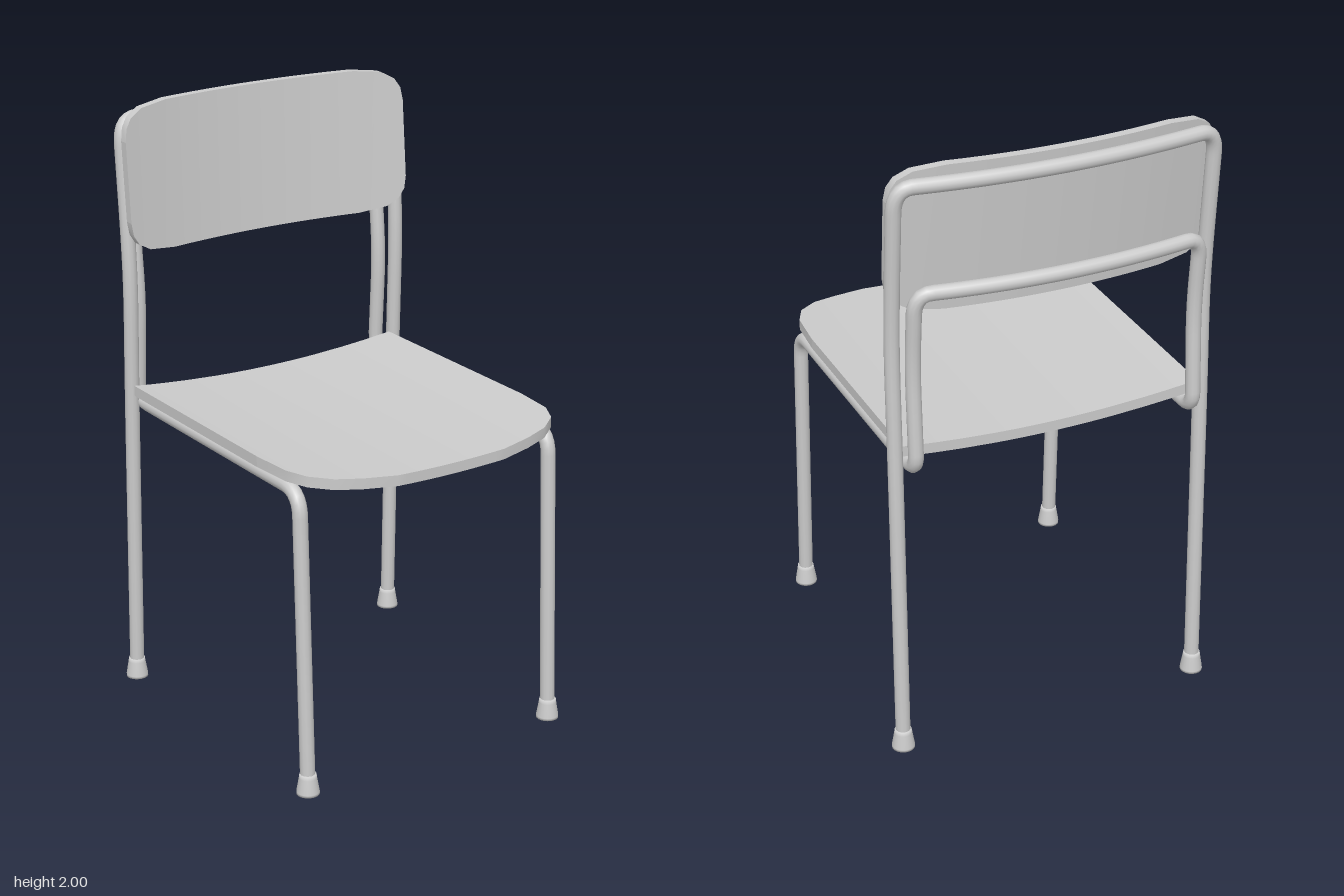
import * as THREE from 'three';

const material = new THREE.MeshStandardMaterial({ color: 0xcccccc });
const V = (x, y, z) => new THREE.Vector3(x, y, z);
const TUBE_R = 0.024;

function add(group, name, geometry, x = 0, y = 0, z = 0) {
  const mesh = new THREE.Mesh(geometry, material);
  mesh.name = name;
  mesh.position.set(x, y, z);
  group.add(mesh);
  return mesh;
}

// Steel tube along corner points, each corner rounded by its own radius
function bentTube(points) {
  const path = new THREE.CurvePath();
  let last = points[0].p;
  for (let i = 1; i < points.length - 1; i++) {
    const { p, r } = points[i];
    const toward = (q) => {
      const d = q.clone().sub(p);
      return p.clone().addScaledVector(d.clone().normalize(), Math.min(r, d.length() * 0.45));
    };
    const a = toward(points[i - 1].p), b = toward(points[i + 1].p);
    path.add(new THREE.LineCurve3(last, a));
    path.add(new THREE.QuadraticBezierCurve3(a, p, b));
    last = b;
  }
  path.add(new THREE.LineCurve3(last, points[points.length - 1].p));
  path.arcLengthDivisions = 600;
  return new THREE.TubeGeometry(path, 300, TUBE_R, 12, false);
}

// Mirrored frame: side profile [y, z, radius] on both sides, joined by a crossbar bowed backwards
function frame(halfWidth, side, bow) {
  const half = (s) => side.map(([y, z, r]) => ({ p: V(s * halfWidth, y, z), r }));
  const [endY, endZ] = side[side.length - 1];
  const bar = [];
  for (let i = -3; i <= 3; i++) {
    const t = i / 4;
    bar.push({ p: V(t * halfWidth, endY, endZ - bow * (1 - t * t)), r: 0.06 });
  }
  return bentTube([...half(-1), ...bar, ...half(1).reverse()]);
}

// Linear interpolation in a list of [u, v] pairs
function lookup(list, u) {
  for (let i = 1; i < list.length; i++) {
    const [u0, v0] = list[i - 1], [u1, v1] = list[i];
    if (u <= u1) return v0 + (v1 - v0) * Math.max(0, (u - u0) / (u1 - u0));
  }
  return list[list.length - 1][1];
}

// Bent board: a box split into columns; rounded gives the outline [x, extent] of its corners
function board(rounded, place) {
  const inner = rounded[0][0], columns = [];
  for (let i = -6; i <= 6; i++) columns.push(inner * i / 6);
  for (const [x] of rounded.slice(1)) {
    columns.push(x);
    columns.unshift(-x);
  }
  const n = columns.length - 1;
  const geo = new THREE.BoxGeometry(n, 2, 2, n, 1, 1);
  const pos = geo.attributes.position;
  for (let i = 0; i < pos.count; i++) {
    const x = columns[Math.round(pos.getX(i) + n / 2)];
    const p = place(x, pos.getY(i), pos.getZ(i), lookup(rounded, Math.abs(x)));
    pos.setXYZ(i, p.x, p.y, p.z);
  }
  geo.computeVertexNormals();
  return geo;
}

export function createModel() {
  const group = new THREE.Group();
  const innerX = -0.0125;

  // Outer frame: rear legs, back posts and top rail
  add(group, 'rearLegFrame', frame(0.52, [
    [0.01, -0.526, 0], [1.0, -0.503, 0.15], [1.4, -0.489, 0.12],
    [1.58, -0.497, 0.12], [1.95, -0.527, 0.08],
  ], 0.05));

  // Inner frame: front legs, seat rails, inner posts and lower rail
  add(group, 'frontLegFrame', frame(0.472, [
    [0.01, 0.5, 0], [1.003, 0.462, 0.08], [1.003, -0.523, 0.06],
    [1.35, -0.502, 0.1], [1.6, -0.525, 0.07],
  ], 0.047), innerX);

  // Seat: dished across its width, rounded at the front, straight at the rear
  const seatOutline = [[0.2, 0.6], [0.31, 0.577], [0.395, 0.55], [0.46, 0.5], [0.493, 0.43], [0.505, 0.285]];
  add(group, 'seat', board(seatOutline, (x, v, t, front) => {
    const top = 1.04 + 0.03 * (x / 0.505) ** 2;
    return V(x, t > 0 ? top : top - 0.035, v > 0 ? -0.475 : front);
  }), -0.02);

  // Backrest: bowed backwards, leaning, all four corners rounded
  const backOutline = [[0.36, 0.24], [0.46, 0.228], [0.505, 0.203], [0.525, 0.172], [0.532, 0.13]];
  add(group, 'backrest', board(backOutline, (x, v, t, h) => {
    const y = v * h;
    const front = -0.515 - y * 0.083 + 0.063 * (x / 0.532) ** 2;
    return V(x, 1.76 + y, t > 0 ? front : front - 0.03);
  }), -0.004);

  // Flared foot caps
  const foot = new THREE.LatheGeometry(
    [[0, 0], [0.037, 0], [0.037, 0.008], [0.029, 0.055], [0.027, 0.068], [0, 0.068]]
      .map(([r, y]) => new THREE.Vector2(r, y)), 20);
  for (const s of [-1, 1]) {
    const sideName = s > 0 ? 'Left' : 'Right';
    add(group, 'rearFoot' + sideName, foot, s * 0.52, 0, -0.526);
    add(group, 'frontFoot' + sideName, foot, innerX + s * 0.472, 0, 0.5);
  }
  return group;
}
